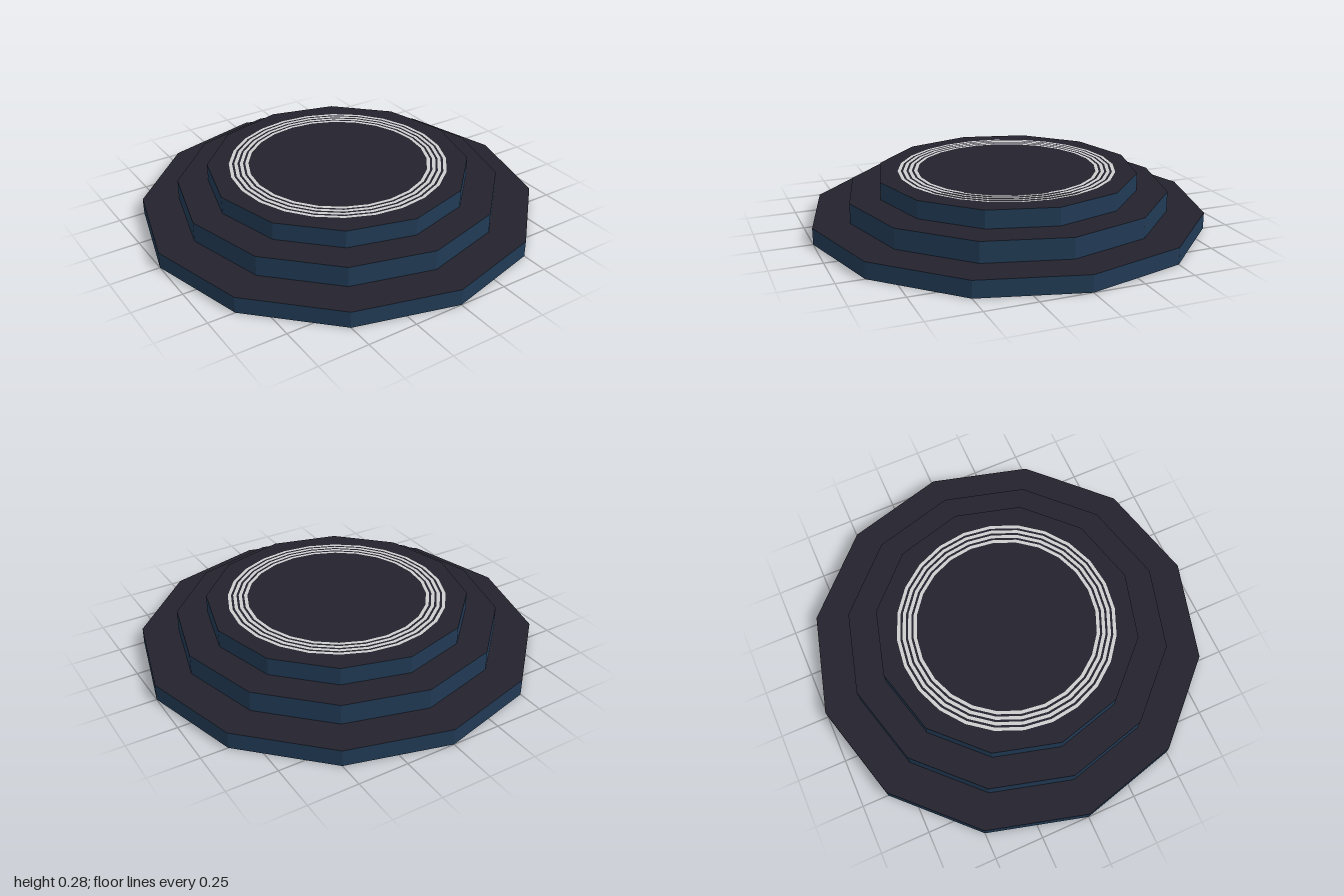
import * as THREE from 'three';

const mat = (name, color) => {
  const m = new THREE.MeshStandardMaterial({ color });
  m.name = name;
  return m;
};

export function createModel() {
  const group = new THREE.Group();
  group.name = 'steppedPlatform';
  const navy = mat('navy sides', 0x213a54);
  const dark = mat('dark top', 0x23222d);
  const pale = mat('pale grey rings', 0xcccccc);

  // Three stacked twelve-sided steps: [name, radius, bottom, top]
  const steps = [
    ['lowerStep', 1, 0, 0.083],
    ['middleStep', 0.815, 0.083, 0.185],
    ['upperStep', 0.66, 0.185, 0.274],
  ];
  for (const [name, radius, y0, y1] of steps) {
    // Non-indexed faces keep the facets flat; groups: side, top, bottom
    const indexed = new THREE.CylinderGeometry(radius, radius, y1 - y0, 12);
    const geometry = indexed.toNonIndexed();
    geometry.computeVertexNormals();
    const step = new THREE.Mesh(geometry, [navy, dark, dark]);
    step.name = name;
    step.position.y = (y0 + y1) / 2;
    group.add(step);
  }

  // Four thin concentric rings painted on the top
  const rings = new THREE.Group();
  rings.name = 'topRings';
  for (let i = 0; i < 4; i++) {
    const inner = 0.452 + i * 0.0275;
    const geometry = new THREE.RingGeometry(inner, inner + 0.0165, 24);
    geometry.rotateX(-Math.PI / 2);
    const ring = new THREE.Mesh(geometry, pale);
    ring.name = `ring${i + 1}`;
    ring.position.y = 0.276;
    rings.add(ring);
  }
  group.add(rings);
  return group;
}
